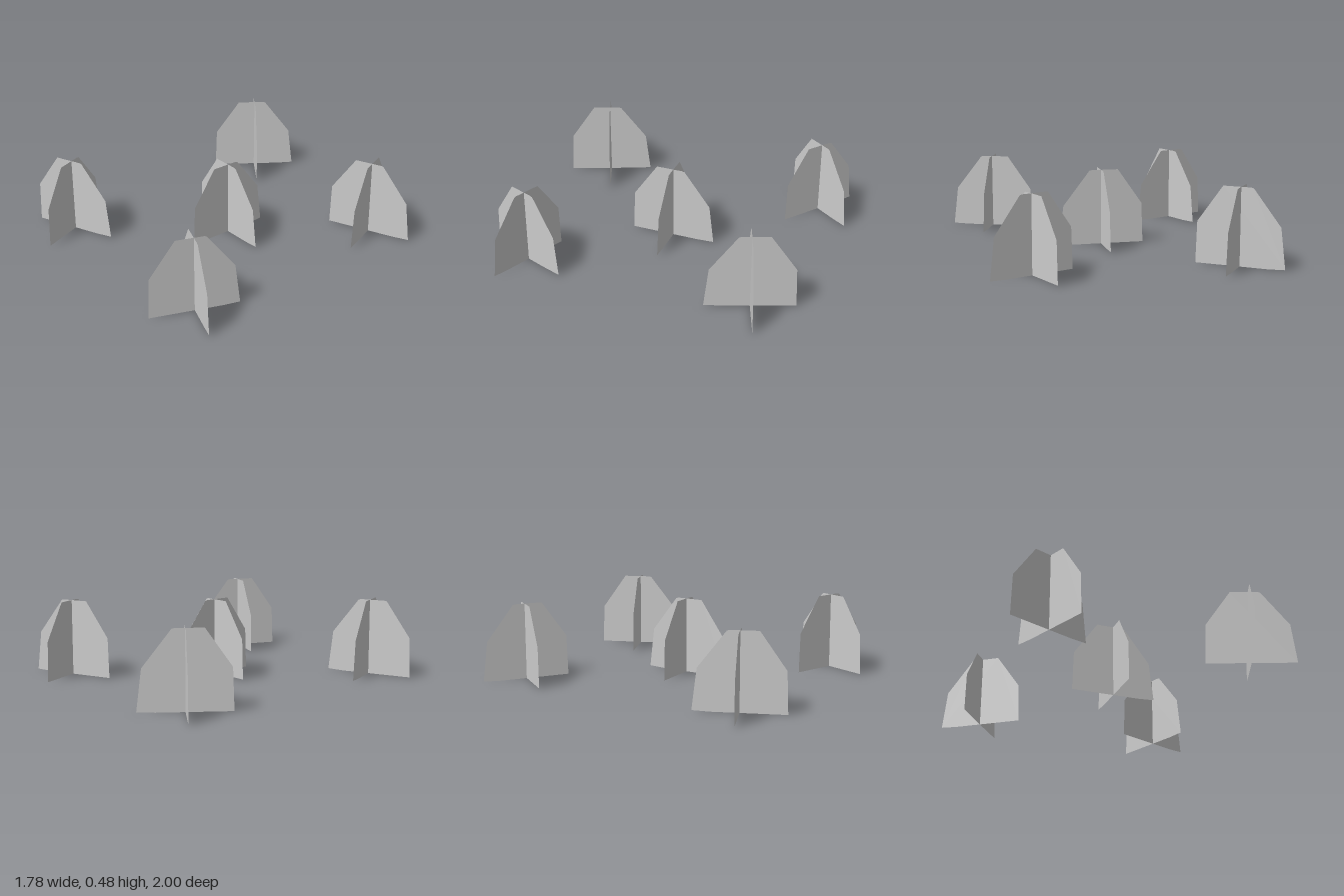
import * as THREE from 'three';

// Outline of one flat leaf card, slightly lopsided about its stem
const outline = [
  [-0.276, 0], [0.17, 0], [0.276, 0.005], [0.246, 0.255],
  [0.076, 0.476], [0.06, 0.48], [-0.11, 0.48], [-0.267, 0.255],
];

// Position (x, z) and turn in degrees of each clump
const clumps = [
  { name: 'centreClump', x: 0.024, z: 0.006, turn: 0 },
  { name: 'frontRightClump', x: -0.64, z: 0.745, turn: 22 },
  { name: 'frontLeftClump', x: 0.626, z: 0.743, turn: -21 },
  { name: 'backLeftClump', x: 0.59, z: -0.706, turn: -68.5 },
  { name: 'backRightClump', x: -0.64, z: -0.777, turn: 54 },
];

export function createModel() {
  const group = new THREE.Group();
  group.name = 'grassPatch';

  const material = new THREE.MeshStandardMaterial({ color: 0xcccccc, side: THREE.DoubleSide });
  const shape = new THREE.Shape(outline.map(([x, y]) => new THREE.Vector2(x, y)));
  const card = new THREE.ShapeGeometry(shape);

  for (const { name, x, z, turn } of clumps) {
    const clump = new THREE.Group();
    clump.name = name;
    clump.position.set(x, 0, z);
    clump.rotation.y = THREE.MathUtils.degToRad(turn);

    // Two upright cards crossing at right angles
    for (let i = 0; i < 2; i++) {
      const leaf = new THREE.Mesh(card, material);
      leaf.name = i ? 'crossLeafCard' : 'leafCard';
      leaf.rotation.y = i * Math.PI / 2;
      clump.add(leaf);
    }
    group.add(clump);
  }
  return group;
}
